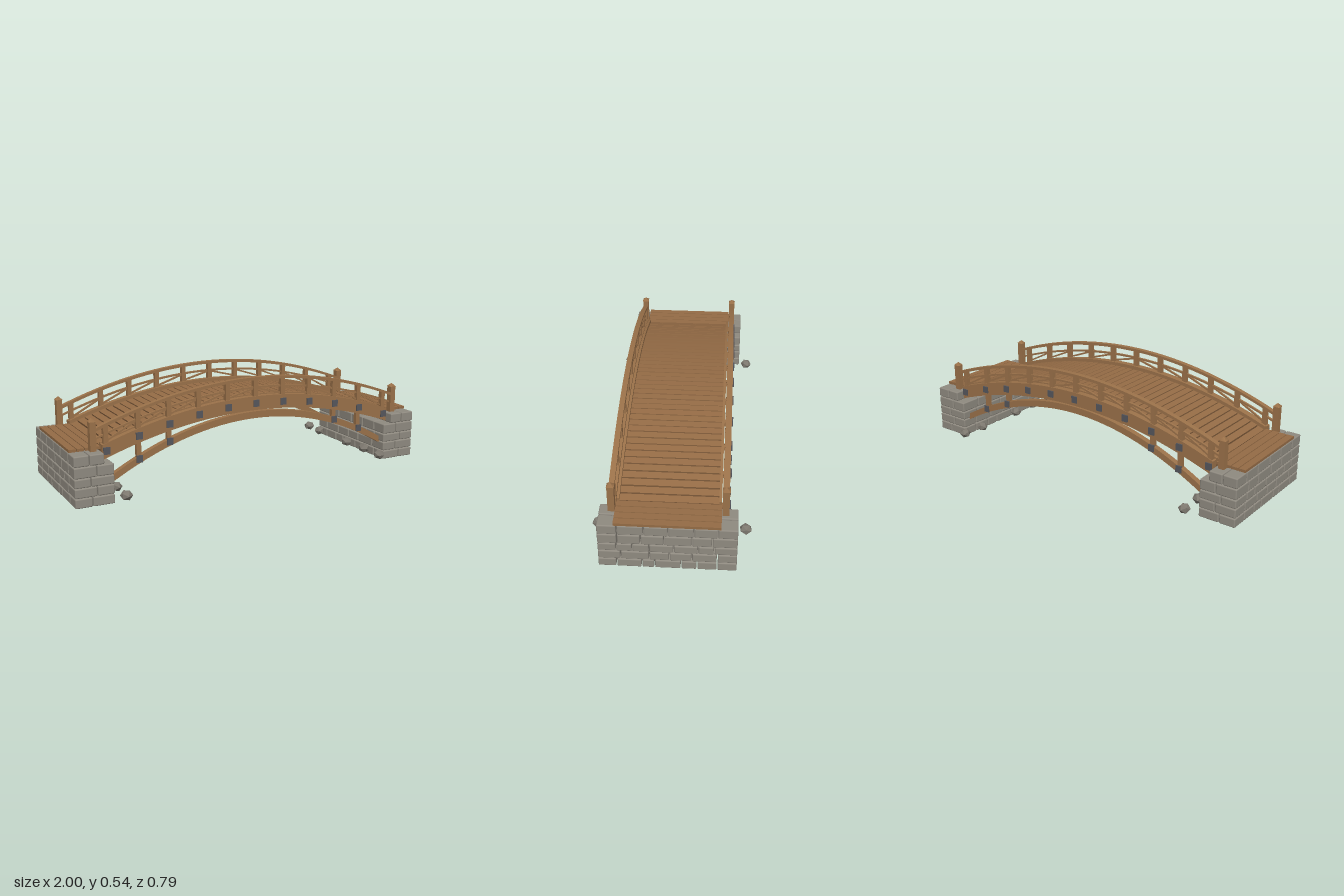
import * as THREE from 'three';
import { RoundedBoxGeometry } from 'three/addons/geometries/RoundedBoxGeometry.js';

const mat = (name, color) => Object.assign(new THREE.MeshStandardMaterial({ color }), { name });

export function createModel() {
  const root = new THREE.Group();
  root.name = 'archedFootbridge';
  const wood = mat('timber', 0x9a7149);
  const deckWood = mat('deckTimber', 0x946b45);
  const stone = mat('stone', 0x8f8a80);
  const rockMat = mat('rock', 0x7d786f);
  rockMat.flatShading = true;
  const iron = mat('iron', 0x55565c);

  let seed = 7;
  const rand = () => (seed = (seed * 16807) % 2147483647) / 2147483647;

  const group = (name) => {
    const g = new THREE.Group();
    g.name = name;
    root.add(g);
    return g;
  };
  const add = (parent, name, geo, m, x, y, z) => {
    const mesh = new THREE.Mesh(geo, m);
    mesh.name = name;
    mesh.position.set(x, y, z);
    parent.add(mesh);
    return mesh;
  };
  const box = (parent, name, m, w, h, d, x, y, z) =>
    add(parent, name, new THREE.BoxGeometry(w, h, d), m, x, y, z);

  // Every curved member follows y = crown - k x^2
  const curve = (crown, k) => (x) => crown - k * x * x;
  const K = 0.218;
  const beamTop = curve(0.44, K);
  const deckTop = curve(0.427, K);
  const railTop = curve(0.54, 0.222);
  const midRail = curve(0.49, 0.22);
  const archTop = curve(0.36, 0.364);

  // Curved timber: a strip under a curve, extruded across z
  const curvedBeam = (parent, name, f, half, height, depth, z) => {
    const n = 32, upper = [], lower = [];
    for (let i = 0; i <= n; i++) {
      const x = -half + (2 * half * i) / n;
      upper.unshift(new THREE.Vector2(x, f(x)));
      lower.push(new THREE.Vector2(x, f(x) - height));
    }
    const geo = new THREE.ExtrudeGeometry(new THREE.Shape([...lower, ...upper]), { depth, bevelEnabled: false });
    return add(parent, name, geo, wood, 0, 0, z - depth / 2);
  };
  // Straight bar between two points in a plane of constant z
  const bar = (parent, name, x1, y1, x2, y2, t, z) => {
    const b = box(parent, name, wood, Math.hypot(x2 - x1, y2 - y1), t, t, (x1 + x2) / 2, (y1 + y2) / 2, z);
    b.rotation.z = Math.atan2(y2 - y1, x2 - x1);
  };

  // Stone abutments: staggered courses, two blocks deep
  const levels = [0, 0.05, 0.1, 0.147, 0.204, 0.26];
  const joints = [
    [-0.33, -0.235, -0.14, -0.065, 0.06, 0.12, 0.24, 0.33],
    [-0.33, -0.235, -0.115, -0.01, 0.085, 0.22, 0.33],
    [-0.33, -0.22, -0.145, -0.03, 0.085, 0.165, 0.24, 0.33],
    [-0.33, -0.21, -0.115, 0.015, 0.125, 0.235, 0.33],
    [-0.33, -0.235, -0.125, -0.005, 0.11, 0.235, 0.33],
  ];
  const splits = [0.91, 0.885, 0.915, 0.885, 0.92];
  for (const s of [-1, 1]) {
    const abutment = group(s > 0 ? 'leftAbutment' : 'rightAbutment');
    joints.forEach((zs, r) => {
      const h = levels[r + 1] - levels[r] - 0.003;
      const xs = [r === 4 ? 0.845 : 0.797, splits[r], 1];
      for (let i = 0; i + 1 < zs.length; i++) {
        for (let c = 0; c < 2; c++) {
          const w = xs[c + 1] - xs[c] - 0.004, d = zs[i + 1] - zs[i] - 0.005;
          add(abutment, 'stoneBlock', new RoundedBoxGeometry(w, h, d, 2, 0.006), stone,
            s * (xs[c] + xs[c + 1]) / 2, (levels[r] + levels[r + 1]) / 2, (zs[i] + zs[i + 1]) / 2);
        }
      }
    });
  }

  // Deck planks along the arch, with slight unevenness
  const deck = group('deck');
  const count = 42, pitch = 1.67 / count;
  for (let i = 0; i < count; i++) {
    const x = -0.835 + pitch * (i + 0.5);
    const p = box(deck, 'plank', deckWood, pitch - 0.004 - rand() * 0.002, 0.018, 0.485,
      x, deckTop(x) - 0.009 - rand() * 0.002, 0);
    p.rotation.z = Math.atan(-2 * K * x);
  }
  // Level planks over the abutments
  for (const s of [-1, 1]) {
    for (let i = 0; i < 4; i++) {
      box(deck, 'landingPlank', deckWood, 0.036, 0.014, 0.5, s * (0.857 + i * 0.0405), 0.267, 0);
    }
  }

  // Joists below the deck
  const postXs = [-0.82, -0.652, -0.489, -0.326, -0.163, 0, 0.163, 0.326, 0.489, 0.652, 0.82];
  const joists = group('joists');
  for (const x of postXs) {
    const j = box(joists, 'joist', wood, 0.024, 0.026, 0.51, x, deckTop(x) - 0.033, 0);
    j.rotation.z = Math.atan(-2 * K * x);
  }

  // Both sides: beam, lower arch, kerb, railing
  for (const s of [-1, 1]) {
    const side = group(s > 0 ? 'frontSide' : 'backSide');
    const z = s * 0.268;
    curvedBeam(side, 'mainBeam', beamTop, 0.84, 0.073, 0.032, z);
    curvedBeam(side, 'lowerArch', archTop, 0.82, 0.036, 0.03, z);
    curvedBeam(side, 'kerb', curve(0.445, K), 0.84, 0.03, 0.013, s * 0.242);
    curvedBeam(side, 'handrail', railTop, 0.885, 0.015, 0.027, z);
    curvedBeam(side, 'middleRail', midRail, 0.885, 0.01, 0.012, z);

    postXs.forEach((x, i) => {
      const y0 = beamTop(x) - 0.02, y1 = railTop(x) - 0.006;
      box(side, 'railPost', wood, 0.024, y1 - y0, 0.024, x, (y0 + y1) / 2, z);
      box(side, 'ironPlate', iron, 0.034, 0.036, 0.008, x, beamTop(x) - 0.037, s * 0.287);
      // Diagonal braces rise toward the middle of the span
      if (i > 0) {
        const a = postXs[i - 1], out = Math.abs(a) > Math.abs(x) ? a : x, inn = out === a ? x : a;
        bar(side, 'brace', out, beamTop(out) + 0.006, inn, midRail(inn) - 0.008, 0.009, z);
      }
    });

    // Struts tying the lower arch to the beam
    for (const x of [-0.652, -0.489, 0.489, 0.652]) {
      const y0 = archTop(x) - 0.03, y1 = beamTop(x) - 0.05;
      box(side, 'strut', wood, 0.024, y1 - y0, 0.022, x, (y0 + y1) / 2, z);
      box(side, 'strutPlate', iron, 0.032, 0.036, 0.008, x, archTop(x) - 0.012, s * 0.286);
    }

    // End posts with pyramid caps
    for (const e of [-1, 1]) {
      box(side, 'endPost', wood, 0.031, 0.145, 0.033, e * 0.885, 0.3325, z);
      const cap = new THREE.ConeGeometry(0.0255, 0.018, 4).rotateY(Math.PI / 4);
      add(side, 'endPostCap', cap, wood, e * 0.885, 0.414, z);
    }
  }

  // Loose rocks beside the abutments
  const rocks = group('rocks');
  for (const s of [-1, 1]) {
    for (const z of [-0.37, -0.24, 0.05, 0.21, 0.36]) {
      const r = add(rocks, 'rock', new THREE.IcosahedronGeometry(0.032, 0), rockMat,
        s * (0.745 + rand() * 0.01), 0.045, z);
      r.scale.set(1, 0.85, 0.9 + rand() * 0.15);
      r.rotation.y = rand() * 6;
    }
  }
  return root;
}
